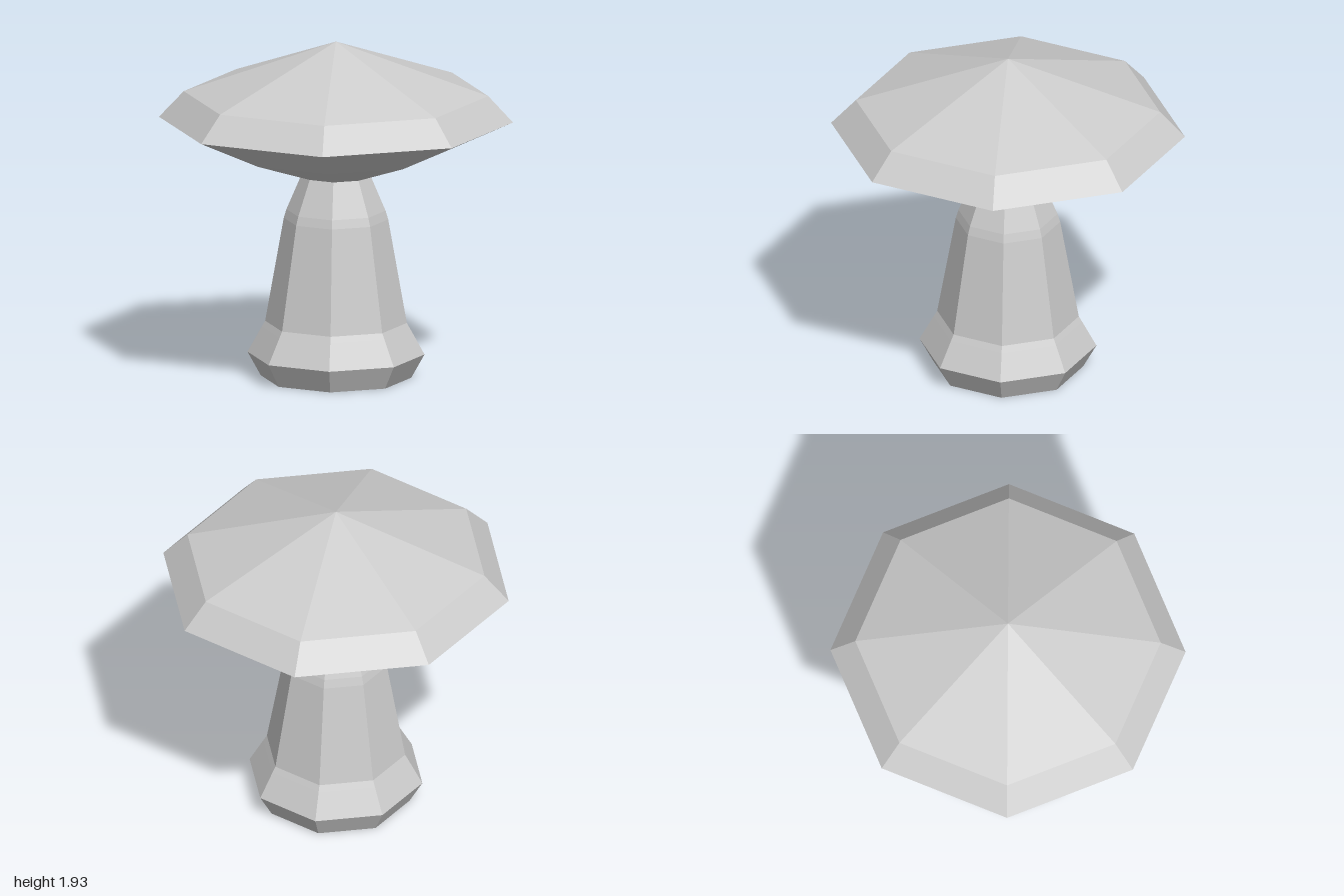
import * as THREE from 'three';

const SIDES = 8;

// Faceted eight-sided solid turned from [radius, height] pairs, listed bottom to top
function turned(name, profile, material) {
  const points = profile.map(([r, y]) => new THREE.Vector2(r, y));
  const mesh = new THREE.Mesh(new THREE.LatheGeometry(points, SIDES), material);
  mesh.name = name;
  return mesh;
}

export function createModel() {
  const group = new THREE.Group();
  group.name = 'mushroom';
  const material = new THREE.MeshStandardMaterial({ color: 0xcccccc, flatShading: true });

  // Stem: closed base, bulging foot, tapering shaft and narrow neck
  group.add(turned('stem', [
    [0, 0], [0.425, 0], [0.5, 0.135], [0.42, 0.28], [0.4, 0.315],
    [0.295, 0.91], [0.28, 0.96], [0.195, 1.16],
  ], material));

  // Cap: shallow underside, sharp rim, bevel and pointed top
  group.add(turned('cap', [
    [0.195, 1.16], [0.58, 1.29], [1, 1.48], [0.86, 1.63], [0, 1.93],
  ], material));

  return group;
}
